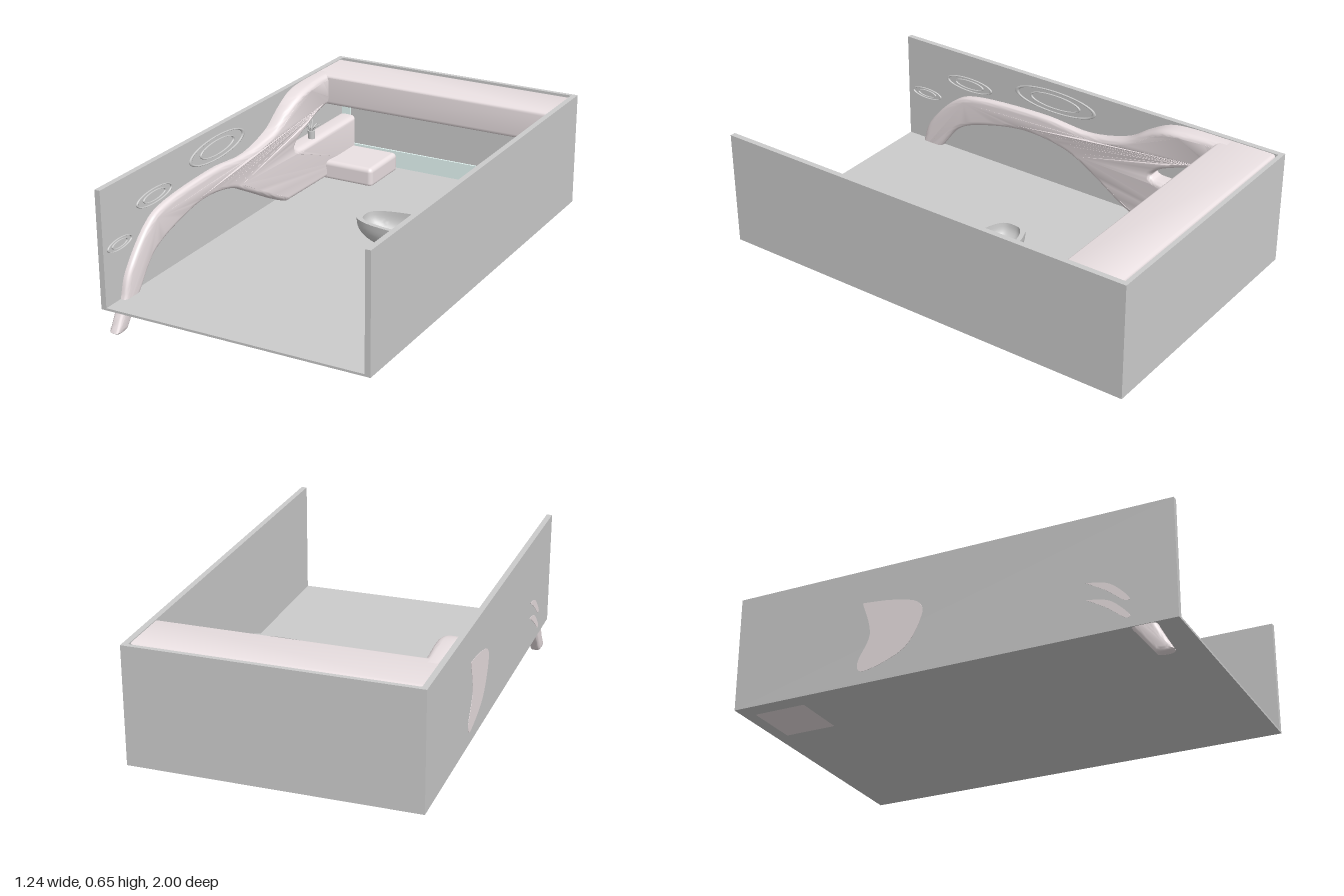
import * as THREE from 'three';
import { toCreasedNormals, mergeVertices } from 'three/addons/utils/BufferGeometryUtils.js';
import { RoundedBoxGeometry } from 'three/addons/geometries/RoundedBoxGeometry.js';

const grey = new THREE.MeshStandardMaterial({ color: 0xcccccc });
const greyThin = new THREE.MeshStandardMaterial({ color: 0xcccccc, side: THREE.DoubleSide });
const blush = new THREE.MeshStandardMaterial({ color: 0xebe1e3 });
const pale = new THREE.MeshStandardMaterial({ color: 0xe8fbf8 });
const V2 = (p) => new THREE.Vector2(p[0], p[1]);
const outline = (pts) => new THREE.Shape(pts.map(V2));

export function createModel() {
  const root = new THREE.Group();
  const add = (name, geo, mat) => {
    const mesh = new THREE.Mesh(geo, mat);
    mesh.name = name;
    root.add(mesh);
    return mesh;
  };
  // box given by its min and max corners
  const box = (name, a, b, mat = grey, r = 0) => {
    const s = b.map((v, i) => v - a[i]);
    const geo = r ? new RoundedBoxGeometry(...s, 4, r) : new THREE.BoxGeometry(...s);
    geo.translate(...a.map((v, i) => (v + b[i]) / 2));
    return add(name, geo, mat);
  };

  // room shell, open at the front and top
  box('floor', [-0.62, 0.13, -1], [0.62, 0.14, 1]);
  box('leftSideWall', [0.595, 0.13, -1], [0.62, 0.653, 1]);
  box('rightSideWall', [-0.62, 0.13, -1], [-0.595, 0.653, 1]);
  box('backWall', [-0.6, 0.13, -1], [0.6, 0.653, -0.98]);

  // pale screen on the back wall with two openings
  const screen = outline([[-0.595, 0.14], [0.595, 0.14], [0.595, 0.64], [-0.595, 0.64]]);
  const large = new THREE.Path();
  large.moveTo(-0.55, 0.225).lineTo(-0.55, 0.488).lineTo(0.2, 0.488);
  large.quadraticCurveTo(0.25, 0.488, 0.28, 0.468).lineTo(0.51, 0.315);
  large.quadraticCurveTo(0.525, 0.305, 0.525, 0.28).lineTo(0.525, 0.225);
  const small = new THREE.Path();
  small.moveTo(0.345, 0.486).lineTo(0.515, 0.486).quadraticCurveTo(0.527, 0.486, 0.527, 0.475);
  small.lineTo(0.527, 0.37).quadraticCurveTo(0.527, 0.362, 0.515, 0.367).lineTo(0.34, 0.475);
  screen.holes.push(large, small);
  const screenGeo = new THREE.ExtrudeGeometry(screen, { depth: 0.008, bevelEnabled: false });
  add('backScreen', screenGeo.translate(0, 0, -0.98), pale);

  // overhead beam with its supporting leg, rounded edges
  const frame = outline([[-0.6, 0.505], [0.542, 0.505], [0.542, 0.14], [0.594, 0.14], [0.594, 0.65], [-0.6, 0.65]]);
  const frameGeo = new THREE.ExtrudeGeometry(frame, {
    depth: 0.224, bevelThickness: 0.018, bevelSize: 0.018, bevelOffset: -0.018, bevelSegments: 4,
  });
  add('beamAndLeg', toCreasedNormals(frameGeo.translate(0, 0, -0.952), 0.7), blush);

  // flowing side ribbon and counter: side profile in (z, y)
  const ribbon = new THREE.Shape();
  ribbon.moveTo(0.968, 0.012);
  ribbon.splineThru([
    [0.905, 0.13], [0.86, 0.25], [0.72, 0.4], [0.57, 0.458], [0.215, 0.48], [-0.04, 0.465],
    [-0.24, 0.51], [-0.36, 0.585], [-0.46, 0.635], [-0.58, 0.65], [-0.76, 0.65],
  ].map(V2));
  ribbon.lineTo(-0.76, 0.505);
  ribbon.splineThru([[-0.68, 0.502], [-0.57, 0.482], [-0.46, 0.44], [-0.405, 0.395], [-0.42, 0.375], [-0.47, 0.372]].map(V2));
  ribbon.lineTo(-0.97, 0.372).lineTo(-0.97, 0.14).lineTo(-0.34, 0.14);
  ribbon.splineThru([
    [-0.26, 0.175], [-0.06, 0.28], [0.09, 0.348], [0.295, 0.372], [0.5, 0.338], [0.68, 0.27],
    [0.8, 0.13], [0.895, 0.008],
  ].map(V2));
  ribbon.quadraticCurveTo(0.95, -0.005, 0.968, 0.012);
  const ribbonGeo = new THREE.ExtrudeGeometry(ribbon, {
    depth: 0.024, curveSegments: 5, bevelThickness: 0.018, bevelSize: 0.022, bevelOffset: -0.022, bevelSegments: 5,
  });
  // inner face bulges towards the rear
  const inner = [[-1, -0.513], [-0.8, -0.516], [-0.7, -0.525], [-0.5, -0.514], [-0.3, -0.532], [0, -0.564], [1, -0.566]];
  const innerX = (z) => {
    let i = 0;
    while (i < inner.length - 2 && z > inner[i + 1][0]) i++;
    const [a, b] = [inner[i], inner[i + 1]];
    return THREE.MathUtils.lerp(a[1], b[1], THREE.MathUtils.smoothstep(z, a[0], b[0]));
  };
  const rp = ribbonGeo.attributes.position;
  for (let i = 0; i < rp.count; i++) {
    const z = rp.getX(i), t = (rp.getZ(i) + 0.018) / 0.06;
    rp.setXYZ(i, THREE.MathUtils.lerp(innerX(z), -0.617, t), rp.getY(i), z);
  }
  add('sideRibbon', toCreasedNormals(ribbonGeo, 0.8), blush);

  // seat block beside the counter
  box('seat', [-0.56, 0.129, -0.96], [-0.28, 0.226, -0.69], blush, 0.022);

  // flush patches where the ribbon shows through the outside of the wall
  const inlay = (name, pts) => {
    const curve = new THREE.SplineCurve([...pts, pts[0]].map(V2));
    const geo = new THREE.ExtrudeGeometry(new THREE.Shape(curve.getPoints(40)), { depth: 0.01, bevelEnabled: false });
    add(name, geo.rotateY(-Math.PI / 2).translate(-0.6115, 0, 0), blush);
  };
  inlay('rearInlay', [[-0.39, 0.5], [-0.25, 0.485], [-0.13, 0.45], [-0.11, 0.38], [-0.19, 0.25], [-0.37, 0.185], [-0.405, 0.23], [-0.35, 0.35]]);
  for (const dy of [0, -0.075]) {
    inlay('frontInlay', [[0.62, 0.36 + dy], [0.72, 0.335 + dy], [0.8, 0.26 + dy], [0.78, 0.25 + dy], [0.71, 0.305 + dy]]);
  }

  // shallow oval rings on the inside of the wall: z, y, half length, half height
  for (const [z, y, a, b] of [[0.15, 0.56, 0.22, 0.055], [0.635, 0.505, 0.13, 0.034], [0.89, 0.385, 0.085, 0.026]]) {
    for (const k of [0.96, 0.6]) {
      const ring = new THREE.TorusGeometry(1, 0.05, 8, 48);
      ring.scale(a * k, b * k, 0.1).rotateY(Math.PI / 2).translate(-0.593, y, z);
      add('wallRing', ring, grey);
    }
  }

  // tapered bathtub: outer skin up to the rim, then the inner skin back down
  const spow = (v, e) => Math.sign(v) * Math.abs(v) ** e;
  const rows = 14, cols = 64, pos = [], idx = [];
  for (let r = 0; r <= 2 * rows + 1; r++) {
    const inside = r > rows;
    const phi = ((inside ? 2 * rows + 1 - r : r) / rows) * Math.PI / 2;
    const k = Math.sin(phi) ** 0.62;
    const h = 1 - Math.max(0, Math.cos(phi)) ** 0.75;
    for (let c = 0; c <= cols; c++) {
      const t = (c / cols) * Math.PI * 2;
      const ex = spow(Math.cos(t), 0.65), ez = spow(Math.sin(t), 0.65);
      const x = 0.265 + 0.265 * ex * k * (inside ? 0.9 : 1);
      const z = -0.06 + (0.12 + 0.022 * ex) * ez * k * (inside ? 0.83 : 1);
      const base = 0.184 - 0.085 * x + (inside ? 0.02 : 0);
      pos.push(x, base + (0.29 - base) * h, z);
      if (r && c) {
        const d = r * (cols + 1) + c, b = d - cols - 1;
        idx.push(b - 1, d - 1, b, b, d - 1, d);
      }
    }
  }
  let tub = new THREE.BufferGeometry();
  tub.setAttribute('position', new THREE.Float32BufferAttribute(pos, 3));
  tub.setIndex(idx);
  tub = mergeVertices(tub);
  add('bathtub', toCreasedNormals(tub, 0.7), greyThin);
  add('tubFoot', new THREE.CylinderGeometry(0.04, 0.04, 0.014, 32).translate(0.43, 0.146, -0.06), grey);

  // potted plant on the counter
  add('plantPot', new THREE.CylinderGeometry(0.018, 0.016, 0.04, 20).translate(-0.548, 0.391, -0.59), grey);
  for (let i = 0; i < 8; i++) {
    const a = (i / 8) * Math.PI * 2 + 0.3, reach = 0.032 + 0.012 * (i % 2);
    const at = (d, y) => new THREE.Vector3(-0.548 + d * Math.cos(a), y, -0.59 + 1.2 * d * Math.sin(a));
    const stem = new THREE.QuadraticBezierCurve3(at(0.005, 0.4), at(0.01, 0.43), at(reach, 0.435 + 0.006 * (i % 3)));
    add('leaf', new THREE.TubeGeometry(stem, 8, 0.0025, 6), grey);
  }
  return root;
}
